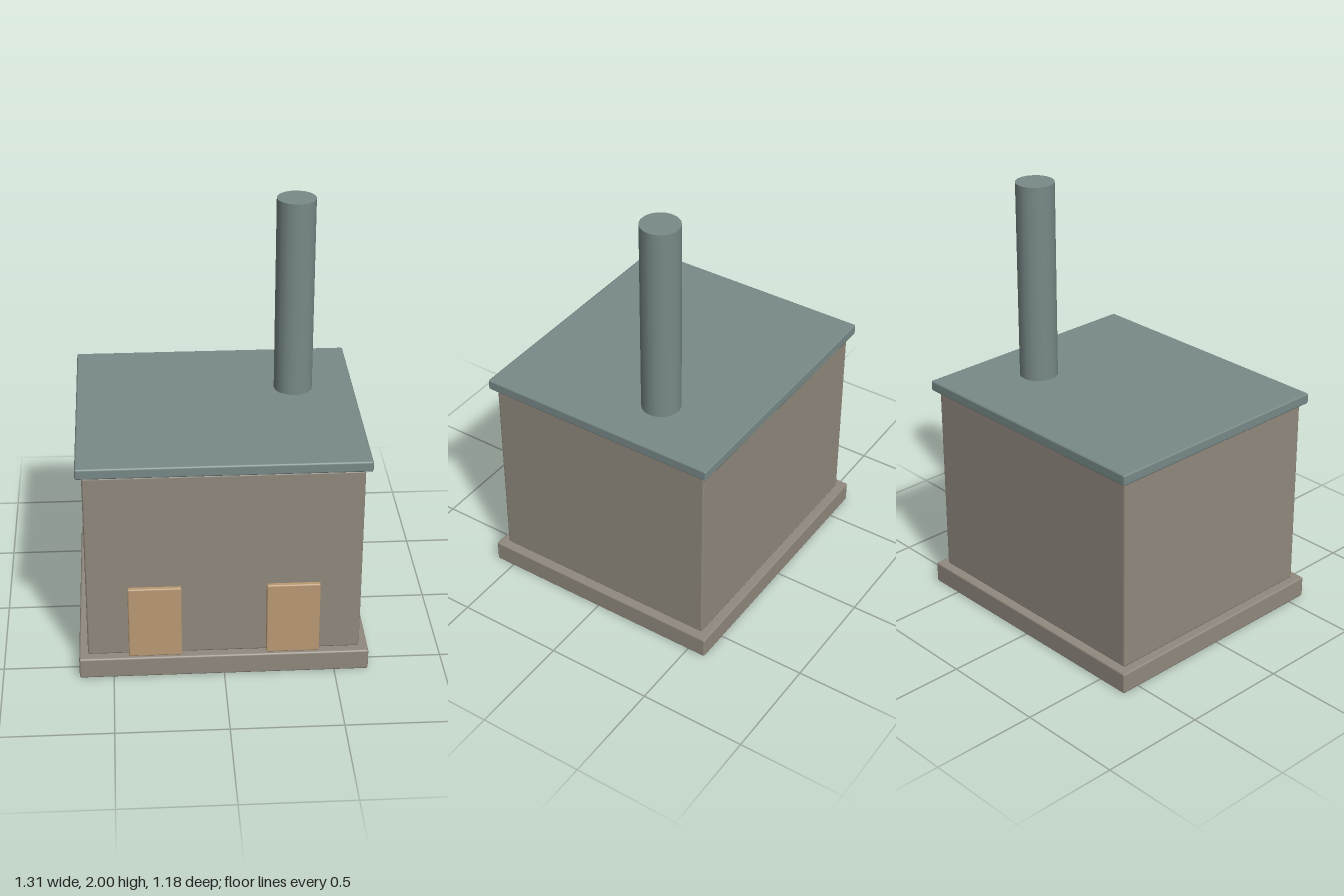
import * as THREE from 'three';
import { RoundedBoxGeometry } from 'three/addons/geometries/RoundedBoxGeometry.js';

export function createModel() {
  const model = new THREE.Group();
  model.name = 'boilerHouse';

  const stone = new THREE.MeshStandardMaterial({ color: 0x91897e });
  const slate = new THREE.MeshStandardMaterial({ color: 0x788a88 });
  const wood = new THREE.MeshStandardMaterial({ color: 0xba9a74 });
  stone.name = 'stone';
  slate.name = 'slate';
  wood.name = 'wood';

  // Box with a slim bevel, placed by its bottom height
  function block(name, material, [w, h, d], [x, bottom, z], bevel = 0.008) {
    const mesh = new THREE.Mesh(new RoundedBoxGeometry(w, h, d, 1, bevel), material);
    mesh.name = name;
    mesh.position.set(x, bottom + h / 2, z);
    model.add(mesh);
  }

  // Plinth, walls and the roof slab floating just above them
  block('plinth', stone, [1.31, 0.1, 1.18], [0, 0, 0]);
  block('walls', stone, [1.23, 0.91, 1.1], [0, 0.1, 0]);
  block('roof', slate, [1.285, 0.05, 1.155], [0, 1.02, 0]);

  // Pair of doors on the front
  for (const side of [-1, 1]) {
    block(side > 0 ? 'leftDoor' : 'rightDoor', wood,
      [0.24, 0.355, 0.026], [side * 0.31, 0.1, 0.563], 0.006);
  }

  // Chimney rising from the wall top through the roof
  const chimney = new THREE.Mesh(new THREE.CylinderGeometry(0.089, 0.089, 0.99, 18), slate);
  chimney.name = 'chimney';
  chimney.position.set(0.362, 1.505, -0.165);
  chimney.rotation.y = Math.PI / 2;
  model.add(chimney);

  return model;
}
